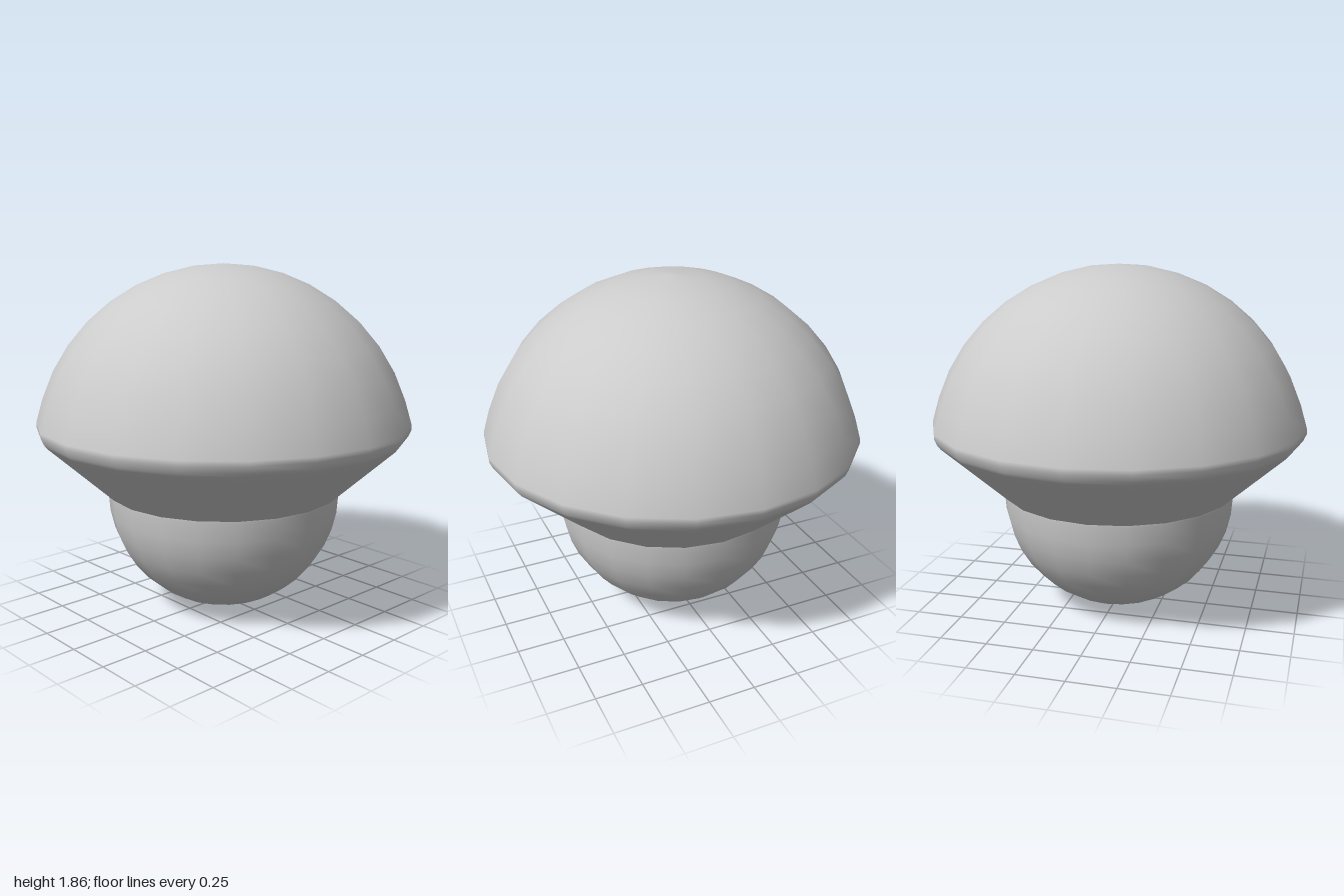
import * as THREE from 'three';

const SIDES = 20;

// Points of a circular arc centred on the axis; angles in degrees from straight up
function arc(radius, centreY, from, to, steps) {
  const points = [];
  for (let i = 0; i <= steps; i++) {
    const a = THREE.MathUtils.degToRad(from + ((to - from) * i) / steps);
    points.push(new THREE.Vector2(Math.max(0, radius * Math.sin(a)), centreY + radius * Math.cos(a)));
  }
  return points;
}

function turned(name, profile) {
  const material = new THREE.MeshStandardMaterial({ color: 0xcccccc, side: THREE.DoubleSide });
  const mesh = new THREE.Mesh(new THREE.LatheGeometry(profile, SIDES), material);
  mesh.name = name;
  return mesh;
}

export function createModel() {
  const group = new THREE.Group();
  group.name = 'mushroom';

  // Rounded stem: a half ball that meets the underside of the cap
  const stem = arc(0.63, 0.63, 180, 90, 10);
  stem.push(new THREE.Vector2(0.63, 0.64));
  group.add(turned('stem', stem));

  // Cap: sloping underside, softly rounded rim, domed top
  const cap = [
    new THREE.Vector2(0.63, 0.64),
    new THREE.Vector2(0.97, 0.95),
    new THREE.Vector2(0.985, 0.97),
    new THREE.Vector2(1, 1.005),
    new THREE.Vector2(1, 1.03),
    ...arc(1.012, 0.843, 72, 0, 8),
  ];
  group.add(turned('cap', cap));

  return group;
}
